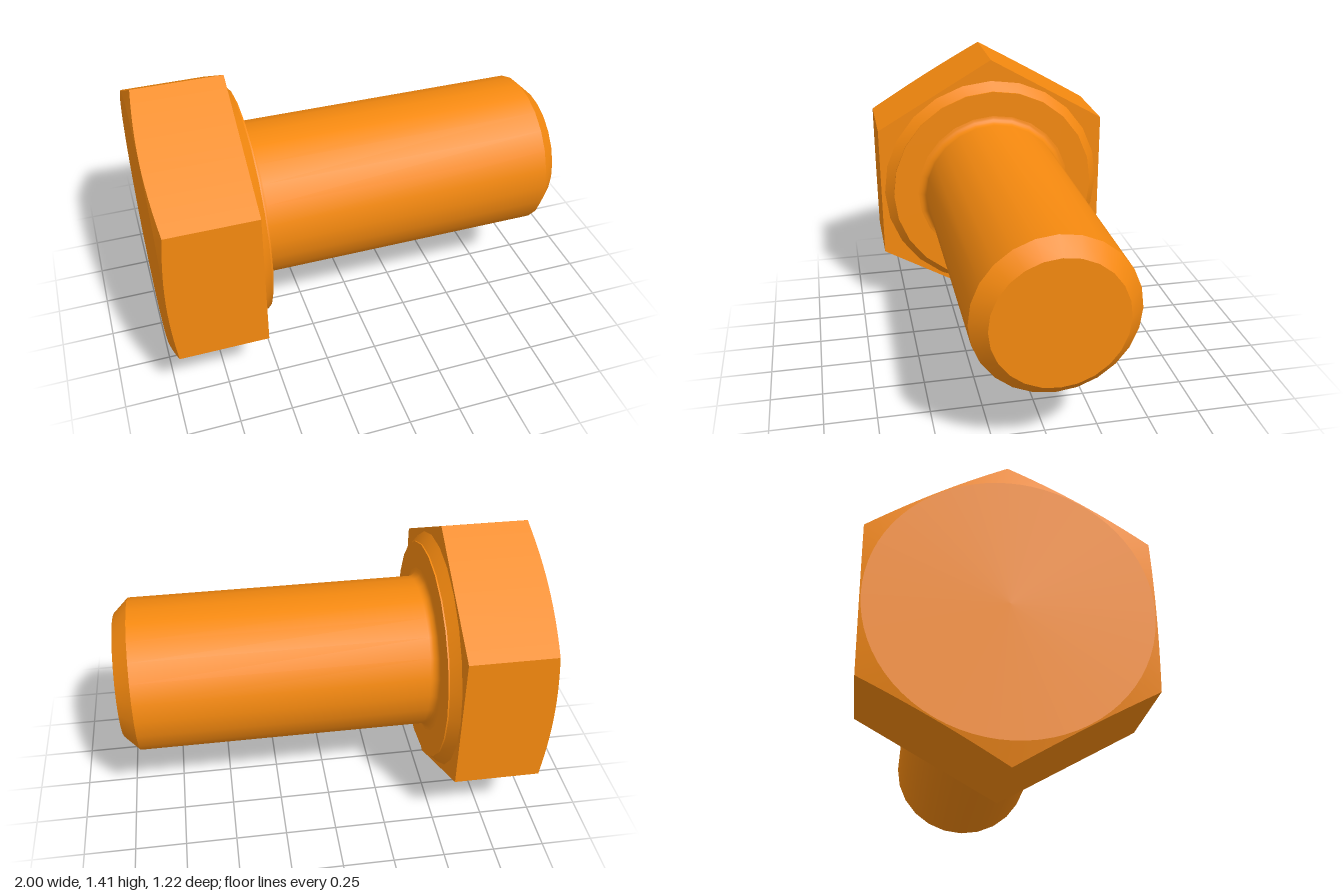
import * as THREE from 'three';
import { toCreasedNormals } from 'three/addons/utils/BufferGeometryUtils.js';

const AXIS_Y = 0.705; // height of the bolt's axis
const APOTHEM = 0.6105; // half the width across the flats
const PER_SIDE = 12; // steps along each hexagon side

// Hexagonal prism along x; its outer end is trimmed by a shallow cone
function headGeometry() {
  const capRadius = 0.605, slope = 0.25, count = PER_SIDE * 6;
  const hexRadius = (t) => {
    const side = Math.PI / 3;
    return APOTHEM / Math.cos((t % side) - side / 2);
  };
  const rings = [
    () => [-1, 0],
    () => [-1, capRadius],
    (t) => [-1 + (hexRadius(t) - capRadius) * slope, hexRadius(t)],
    (t) => [-0.56, hexRadius(t)],
    () => [-0.56, 0],
  ];
  const corner = (i, j) => {
    const t = ((j % count) / count) * Math.PI * 2 + 1e-9;
    const [x, r] = rings[i](t);
    return [x, r * Math.cos(t), r * Math.sin(t)];
  };
  const positions = [];
  for (let i = 0; i < rings.length - 1; i++) {
    for (let j = 0; j < count; j++) {
      const a = corner(i, j), b = corner(i, j + 1);
      const c = corner(i + 1, j + 1), d = corner(i + 1, j);
      if (i > 0) positions.push(...a, ...b, ...c);
      if (i === 0) positions.push(...a, ...c, ...d);
      else if (i < rings.length - 2) positions.push(...a, ...c, ...d);
    }
  }
  const geometry = new THREE.BufferGeometry();
  geometry.setAttribute('position', new THREE.Float32BufferAttribute(positions, 3));
  return toCreasedNormals(geometry, THREE.MathUtils.degToRad(10));
}

// Turned part from [x, radius] pairs, revolved about the x axis
function turned(profile) {
  const points = profile.map(([x, r]) => new THREE.Vector2(r, x));
  const geometry = new THREE.LatheGeometry(points, 24).rotateZ(-Math.PI / 2);
  return toCreasedNormals(geometry, Math.PI / 6);
}

export function createModel() {
  const bolt = new THREE.Group();
  bolt.name = 'hexBolt';
  const material = new THREE.MeshStandardMaterial({ color: 0xf5890f });
  const add = (name, geometry) => {
    const mesh = new THREE.Mesh(geometry, material);
    mesh.name = name;
    mesh.position.y = AXIS_Y;
    bolt.add(mesh);
  };

  add('head', headGeometry());

  // Bevelled collar under the head
  const fillet = 0.04, shankRadius = 0.375, seatX = -0.508;
  add('washerFace', turned([
    [-0.56, 0.592], [-0.515, 0.547], [seatX, 0.547], [seatX, shankRadius + fillet],
  ]));

  // Shank: fillet at the collar, plain cylinder, chamfered tip
  const profile = [];
  for (let i = 0; i <= 6; i++) {
    const a = (i / 6) * Math.PI / 2;
    profile.push([
      seatX + fillet * (1 - Math.cos(a)),
      shankRadius + fillet * (1 - Math.sin(a)),
    ]);
  }
  profile.push([0.927, shankRadius], [1, 0.304], [1, 0]);
  add('shank', turned(profile));

  return bolt;
}
